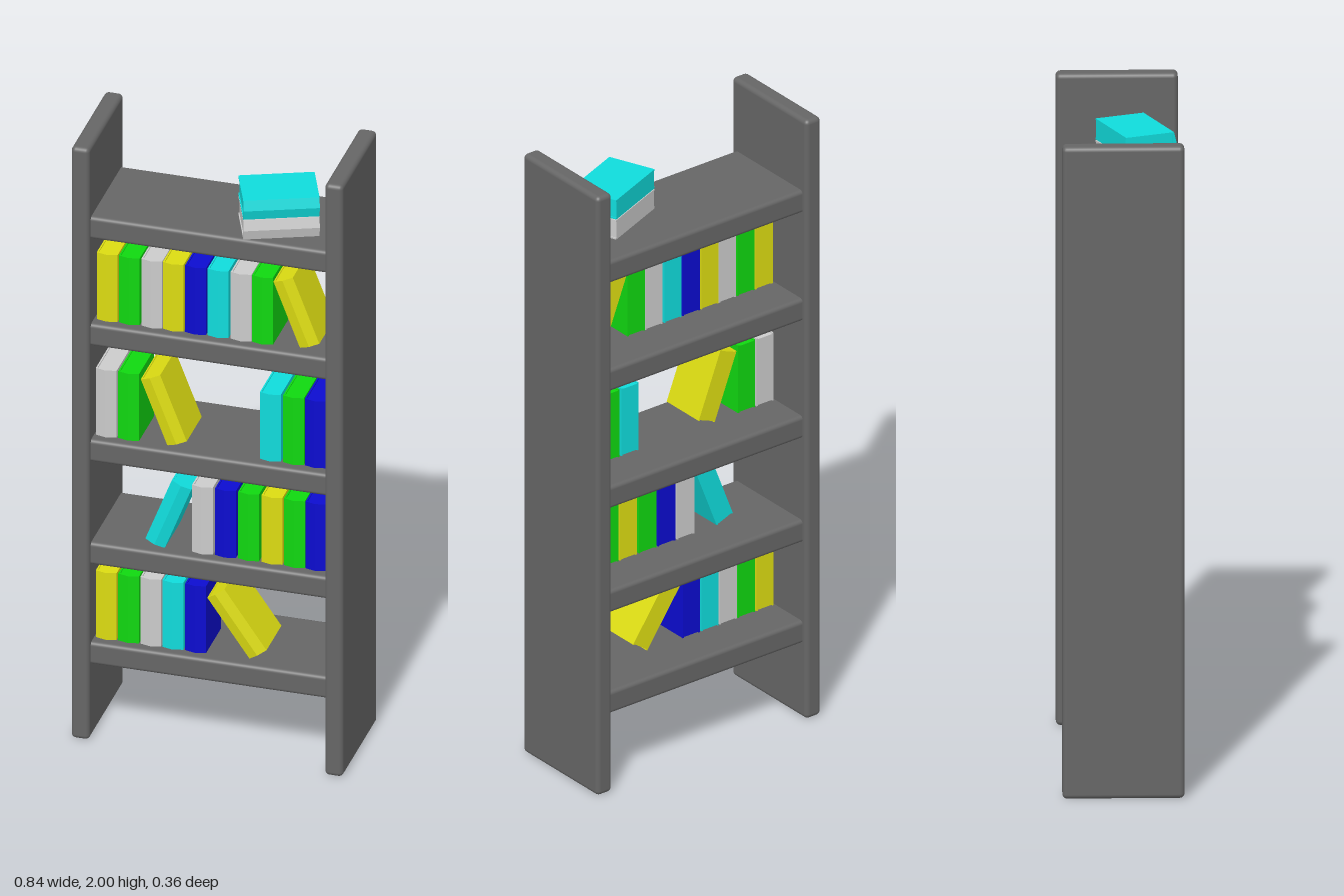
import * as THREE from 'three';
import { RoundedBoxGeometry } from 'three/addons/geometries/RoundedBoxGeometry.js';

const BOOK = { w: 0.064, h: 0.226, d: 0.162 };
const colors = { wood: 0x666666, yellow: 0xdcdc12, green: 0x10d810, grey: 0xcccccc, blue: 0x0c0cd0, cyan: 0x10dcdc };
const TILT = 0.37;

// Each row: top of the shelf, upright books [x, colour], one leaning book [x, y, angle, colour]
const rows = [
  { y: 1.40,
    books: [[-0.322, 'yellow'], [-0.254, 'green'], [-0.185, 'grey'], [-0.119, 'yellow'], [-0.05, 'blue'], [0.019, 'cyan'], [0.09, 'grey'], [0.156, 'green']],
    lean: [0.26, 1.52, TILT, 'yellow'] },
  { y: 1.008,
    books: [[-0.325, 'grey'], [-0.256, 'green'], [0.18, 'cyan'], [0.251, 'green'], [0.318, 'blue']],
    lean: [-0.148, 1.124, TILT, 'yellow'] },
  { y: 0.66,
    books: [[-0.029, 'grey'], [0.042, 'blue'], [0.113, 'green'], [0.185, 'yellow'], [0.254, 'green'], [0.32, 'blue']],
    lean: [-0.134, 0.775, -TILT, 'cyan'] },
  { y: 0.323,
    books: [[-0.325, 'yellow'], [-0.256, 'green'], [-0.188, 'grey'], [-0.12, 'cyan'], [-0.05, 'blue']],
    lean: [0.077, 0.437, 0.61, 'yellow'] },
];

// Cover: C-shaped section with a ridged spine, open at the fore edge
function coverGeometry() {
  const x = BOOK.w / 2, z = BOOK.d / 2, t = 0.005, ridge = 0.008;
  const points = [[-x, z], [-x, -z + ridge], [0, -z], [x, -z + ridge], [x, z],
    [x - t, z], [x - t, -z + ridge + t], [-x + t, -z + ridge + t], [-x + t, z]];
  const shape = new THREE.Shape(points.map(([a, b]) => new THREE.Vector2(a, b)));
  const geo = new THREE.ExtrudeGeometry(shape, { depth: BOOK.h, bevelEnabled: false });
  return geo.translate(0, 0, -BOOK.h / 2).rotateX(-Math.PI / 2);
}

export function createModel() {
  const model = new THREE.Group();
  model.name = 'bookshelf';

  const materials = {};
  for (const key in colors) materials[key] = new THREE.MeshStandardMaterial({ color: colors[key] });

  const add = (parent, name, geo, color, x, y, z) => {
    const mesh = new THREE.Mesh(geo, materials[color]);
    mesh.name = name;
    mesh.position.set(x, y, z);
    parent.add(mesh);
    return mesh;
  };

  // Side panels
  const panel = new RoundedBoxGeometry(0.056, 2, 0.36, 3, 0.014);
  add(model, 'leftPanel', panel, 'wood', 0.39, 1, 0);
  add(model, 'rightPanel', panel, 'wood', -0.39, 1, 0);

  // Shelves, their ends buried in the panels
  const shelf = new RoundedBoxGeometry(0.76, 0.074, 0.324, 3, 0.012);
  [1.762, ...rows.map((r) => r.y)].forEach((top) => add(model, 'shelf', shelf, 'wood', 0, top - 0.037, 0));

  // Books, each a cover around a slightly shorter page block
  const cover = coverGeometry();
  const pages = new THREE.BoxGeometry(BOOK.w - 0.01, BOOK.h - 0.006, BOOK.d - 0.014);
  const addBook = (name, color, x, y, turn = 0, tilt = 0) => {
    const book = new THREE.Group();
    book.name = name;
    add(book, 'cover', cover, color, 0, 0, 0);
    add(book, 'pages', pages, color, 0, 0, -0.007);
    book.position.set(x, y, 0.052);
    book.rotation.set(0, turn, tilt);
    model.add(book);
  };
  for (const { y, books, lean } of rows) {
    for (const [x, color] of books) addBook('uprightBook', color, x, y + BOOK.h / 2, 0, 0);
    addBook('leaningBook', lean[3], lean[0], lean[1], 0, lean[2]);
  }

  // Stack lying on the top shelf
  ['grey', 'cyan'].forEach((color, i) => addBook('stackedBook', color, 0.185, 1.795 + i * 0.067, 0.385, Math.PI / 2));

  return model;
}
